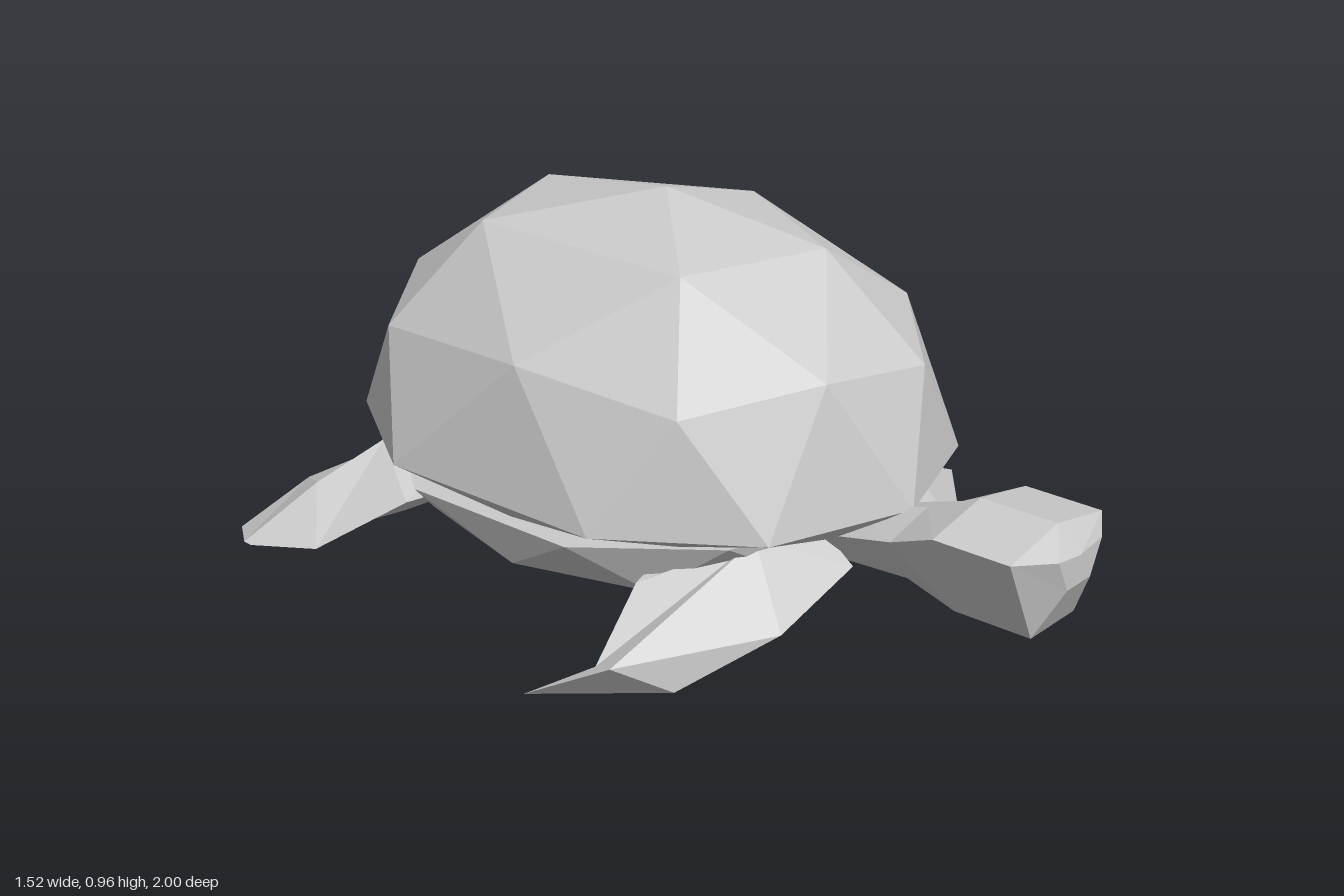
import * as THREE from 'three';

const material = new THREE.MeshStandardMaterial({ color: 0xcccccc, flatShading: true, side: THREE.DoubleSide });

function addMesh(parent, geometry, name) {
  geometry.computeVertexNormals();
  const mesh = new THREE.Mesh(geometry, material);
  mesh.name = name;
  parent.add(mesh);
}

// Faceted dome: icosphere with a vertex at the pole, its two halves pulled apart along z
function dome(width, length, stretch, heightRule) {
  const geo = new THREE.IcosahedronGeometry(1, 1);
  geo.rotateZ(-Math.atan(2 / (1 + Math.sqrt(5))));
  const p = geo.attributes.position;
  for (let i = 0; i < p.count; i++) {
    const z = p.getZ(i);
    const side = Math.abs(z) < 1e-3 ? 0 : Math.sign(z);
    const newZ = side === 0 ? -0.17 : -0.21 + side * stretch + z * length;
    p.setXYZ(i, p.getX(i) * width - 0.012, heightRule(p.getY(i)), newZ);
  }
  return geo;
}

// Closed skin over rings of equal point count, wound so the faces point outward
function loft(rings) {
  const n = rings[0].length;
  const tris = [];
  for (let r = 0; r < rings.length - 1; r++) {
    for (let i = 0; i < n; i++) {
      const j = (i + 1) % n;
      const [a, b, c, d] = [rings[r][i], rings[r][j], rings[r + 1][j], rings[r + 1][i]];
      tris.push([a, b, c], [a, c, d]);
    }
  }
  const last = rings[rings.length - 1];
  for (let i = 1; i < n - 1; i++) {
    tris.push([rings[0][0], rings[0][i + 1], rings[0][i]], [last[0], last[i], last[i + 1]]);
  }
  let volume = 0;
  for (const t of tris) {
    const [a, b, c] = t.map((q) => new THREE.Vector3(...q));
    volume += a.dot(b.cross(c));
  }
  if (volume < 0) tris.forEach((t) => t.reverse());
  const geo = new THREE.BufferGeometry();
  geo.setAttribute('position', new THREE.Float32BufferAttribute(tris.flat(2), 3));
  return geo;
}

export function createModel() {
  const turtle = new THREE.Group();
  turtle.name = 'turtle';

  // Domed shell with a shallow lip underneath, and a flat-topped belly
  addMesh(turtle, dome(0.61, 0.67, 0.1, (y) => (y > -1e-3 ? 0.35 + 0.61 * y : 0.31)), 'shell');
  addMesh(turtle, dome(0.61, 0.58, 0.06, (y) => (y > -1e-3 ? 0.308 : 0.308 + 0.26 * y)), 'belly');

  // Head and neck: z, upper half width, side height, ridge height, lower half width, bottom height
  const headSections = [
    [1.0, 0.085, 0.39, 0.378, 0.045, 0.31],
    [0.94, 0.18, 0.4, 0.435, 0.085, 0.19],
    [0.74, 0.18, 0.4, 0.435, 0.085, 0.19],
    [0.6, 0.14, 0.335, 0.37, 0.07, 0.22],
    [0.4, 0.11, 0.28, 0.315, 0.07, 0.21],
    [0.15, 0.1, 0.27, 0.3, 0.06, 0.2],
  ];
  addMesh(turtle, loft(headSections.map(([z, w, side, ridge, low, bottom]) => [
    [0, ridge, z], [w, side, z], [low, bottom, z], [-low, bottom, z], [-w, side, z],
  ].map(([x, y, d]) => [x - 0.015, y, d]))), 'head');

  // Front flippers, each section listed front, top, back, bottom
  const tip = (x, y, z) => Array.from({ length: 4 }, () => [x, y, z]);
  addMesh(turtle, loft([
    [[0.08, 0.2, 0.46], [0.1, 0.3, 0.34], [0.2, 0.28, 0.1], [0.1, 0.15, 0.28]],
    [[0.34, 0.12, 0.46], [0.3, 0.29, 0.32], [0.46, 0.25, 0.15], [0.36, 0.11, 0.27]],
    [[0.47, 0.01, 0.33], [0.59, 0.15, 0.25], [0.58, 0.12, 0.18], [0.5, 0.03, 0.22]],
    tip(0.645, 0.05, 0.03),
  ]), 'leftFrontFlipper');
  addMesh(turtle, loft([
    [[-0.1, 0.21, 0.46], [-0.1, 0.3, 0.34], [-0.2, 0.28, 0.1], [-0.1, 0.16, 0.28]],
    [[-0.36, 0.14, 0.46], [-0.28, 0.3, 0.32], [-0.49, 0.22, 0.15], [-0.38, 0.12, 0.27]],
    [[-0.57, 0.04, 0.33], [-0.69, 0.12, 0.25], [-0.66, 0.09, 0.18], [-0.59, 0.03, 0.22]],
    tip(-0.735, 0, 0.03),
  ]), 'rightFrontFlipper');

  // Rear flippers, each section listed inner back, ridge, outer front, underside
  const rear = [
    [[0.18, 0.22, -0.72], [0.22, 0.3, -0.6], [0.3, 0.26, -0.42], [0.2, 0.16, -0.58]],
    [[0.35, 0.2, -0.87], [0.42, 0.295, -0.74], [0.53, 0.22, -0.55], [0.42, 0.12, -0.68]],
    [[0.48, 0.15, -0.96], [0.58, 0.215, -0.81], [0.69, 0.11, -0.7], [0.58, 0.08, -0.8]],
    [[0.67, 0.07, -1.0], [0.76, 0.1, -0.88], [0.75, 0.09, -0.87], [0.67, 0.07, -0.99]],
  ];
  for (const [name, s] of [['leftRearFlipper', 1], ['rightRearFlipper', -1]]) {
    addMesh(turtle, loft(rear.map((ring) => ring.map(([x, y, z]) => [s * x, y, z]))), name);
  }

  // Short flat tail tucked under the shell
  addMesh(turtle, loft([[-0.6, 0.12, 0.29, 0.23], [-0.85, 0.06, 0.29, 0.255], [-0.96, 0.015, 0.29, 0.27]].map(
    ([z, w, top, low]) => [[-0.01, top, z], [w, (top + low) / 2, z], [-0.01, low, z], [-w - 0.02, (top + low) / 2, z]],
  )), 'tail');

  return turtle;
}
